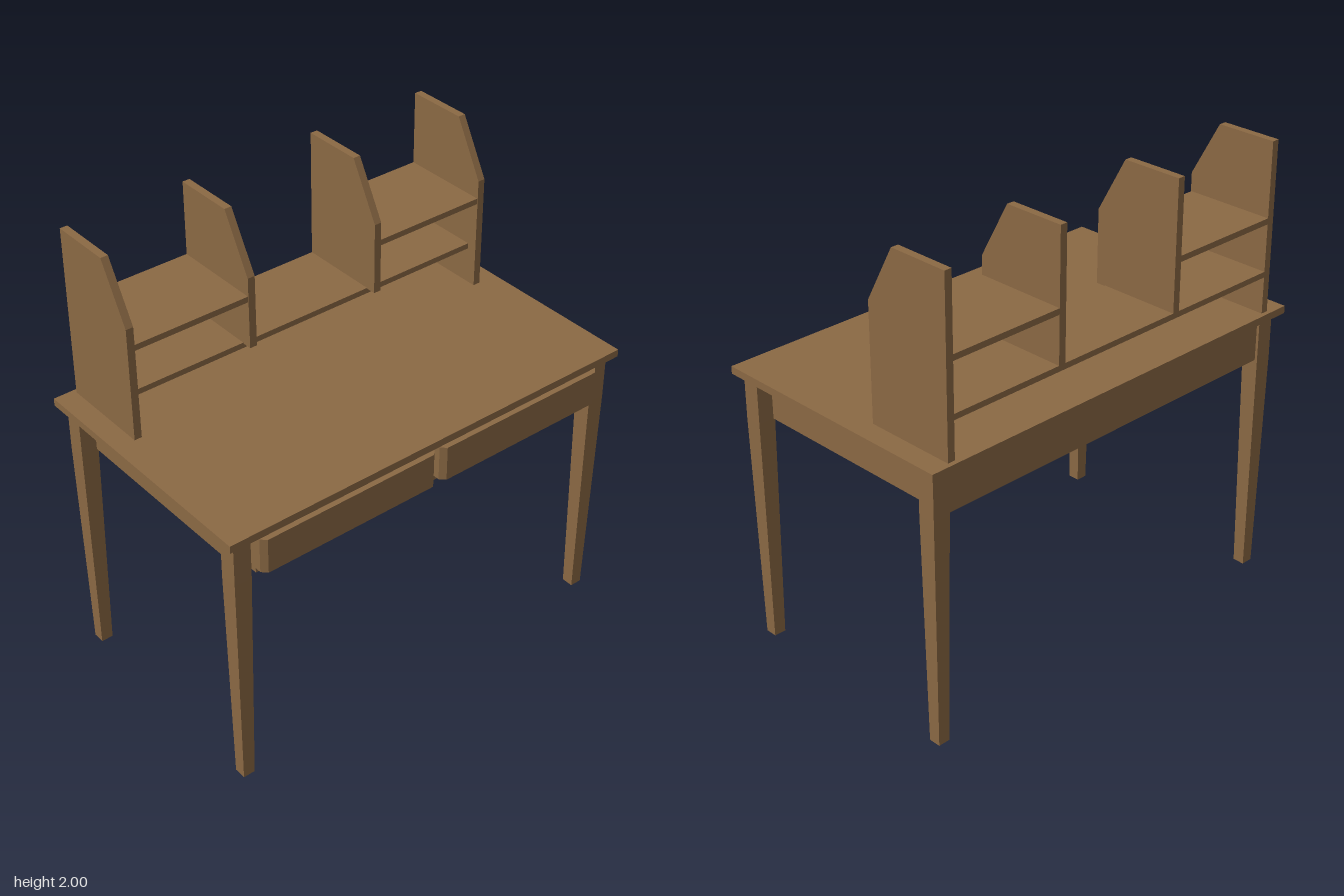
import * as THREE from 'three';

export function createModel() {
  const desk = new THREE.Group();
  desk.name = 'desk';
  const wood = new THREE.MeshStandardMaterial({ color: 0x8b6944 });
  wood.name = 'brown wood';

  const add = (name, geometry) => {
    const mesh = new THREE.Mesh(geometry, wood);
    mesh.name = name;
    desk.add(mesh);
    return mesh;
  };

  // Box given by its limits on each axis
  const box = (name, x0, x1, y0, y1, z0, z1) => {
    const g = new THREE.BoxGeometry(x1 - x0, y1 - y0, z1 - z0);
    g.translate((x0 + x1) / 2, (y0 + y1) / 2, (z0 + z1) / 2);
    return add(name, g);
  };

  // Table top
  box('tableTop', -0.985, 0.985, 1.217, 1.25, -0.595, 0.57);

  // Legs: square block at the top, tapering below the apron
  const legGeometry = () => {
    let g = new THREE.BoxGeometry(1, 2, 1, 1, 2, 1);
    const p = g.attributes.position;
    for (let i = 0; i < p.count; i++) {
      const level = Math.round(p.getY(i)) + 1;
      const width = [0.053, 0.078, 0.078][level];
      p.setXYZ(i, p.getX(i) * width, [0, 1.02, 1.217][level], p.getZ(i) * width);
    }
    g = g.toNonIndexed();
    g.computeVertexNormals();
    return g;
  };
  for (const x of [-0.911, 0.911]) {
    for (const [name, z] of [['frontLeg', 0.5], ['backLeg', -0.518]]) {
      add(name, legGeometry()).position.set(x, 0, z);
    }
  }

  // Aprons between the legs
  box('leftApron', 0.85, 0.88, 1.02, 1.217, -0.5, 0.5);
  box('rightApron', -0.88, -0.85, 1.02, 1.217, -0.5, 0.5);
  box('backApron', -0.875, 0.875, 1.02, 1.217, -0.545, -0.515);

  // Drawer case with its bottom panel and front rail
  box('drawerCase', -0.85, 0.85, 1.032, 1.217, -0.515, 0.535);

  // Drawer fronts with chamfered vertical edges
  const drawerFront = (x0, x1) => {
    const c = 0.022;
    const outline = [
      [x0, 0.53], [x1, 0.53], [x1, 0.592 - c], [x1 - c, 0.592],
      [x0 + c, 0.592], [x0, 0.592 - c],
    ].map(([x, z]) => new THREE.Vector2(x, -z));
    const g = new THREE.ExtrudeGeometry(new THREE.Shape(outline), { depth: 0.155, bevelEnabled: false });
    g.rotateX(-Math.PI / 2);
    g.translate(0, 1.06, 0);
    return g;
  };
  add('rightDrawerFront', drawerFront(-0.855, -0.013));
  add('leftDrawerFront', drawerFront(0.013, 0.855));

  // Upright shelf panels with a sloping front corner
  const upright = (name, x0, x1, bottom) => {
    const outline = [
      [0.575, bottom], [0.167, bottom], [0.167, 1.755], [0.302, 2], [0.575, 2],
    ].map(([x, y]) => new THREE.Vector2(x, y));
    const g = new THREE.ExtrudeGeometry(new THREE.Shape(outline), { depth: x1 - x0, bevelEnabled: false });
    g.rotateY(Math.PI / 2);
    // outline x now runs along -z
    g.translate(x0, 0, 0);
    add(name, g);
  };
  upright('leftShelfSide', 0.859, 0.892, 1.25);
  upright('rightShelfSide', -0.892, -0.859, 1.25);
  upright('leftDivider', 0.3, 0.333, 1.435);
  upright('rightDivider', -0.333, -0.3, 1.435);

  // Shelves
  box('longShelf', -0.86, 0.86, 1.413, 1.438, -0.575, -0.212);
  box('leftUpperShelf', 0.333, 0.86, 1.647, 1.673, -0.575, -0.17);
  box('rightUpperShelf', -0.86, -0.333, 1.647, 1.673, -0.575, -0.17);

  return desk;
}
